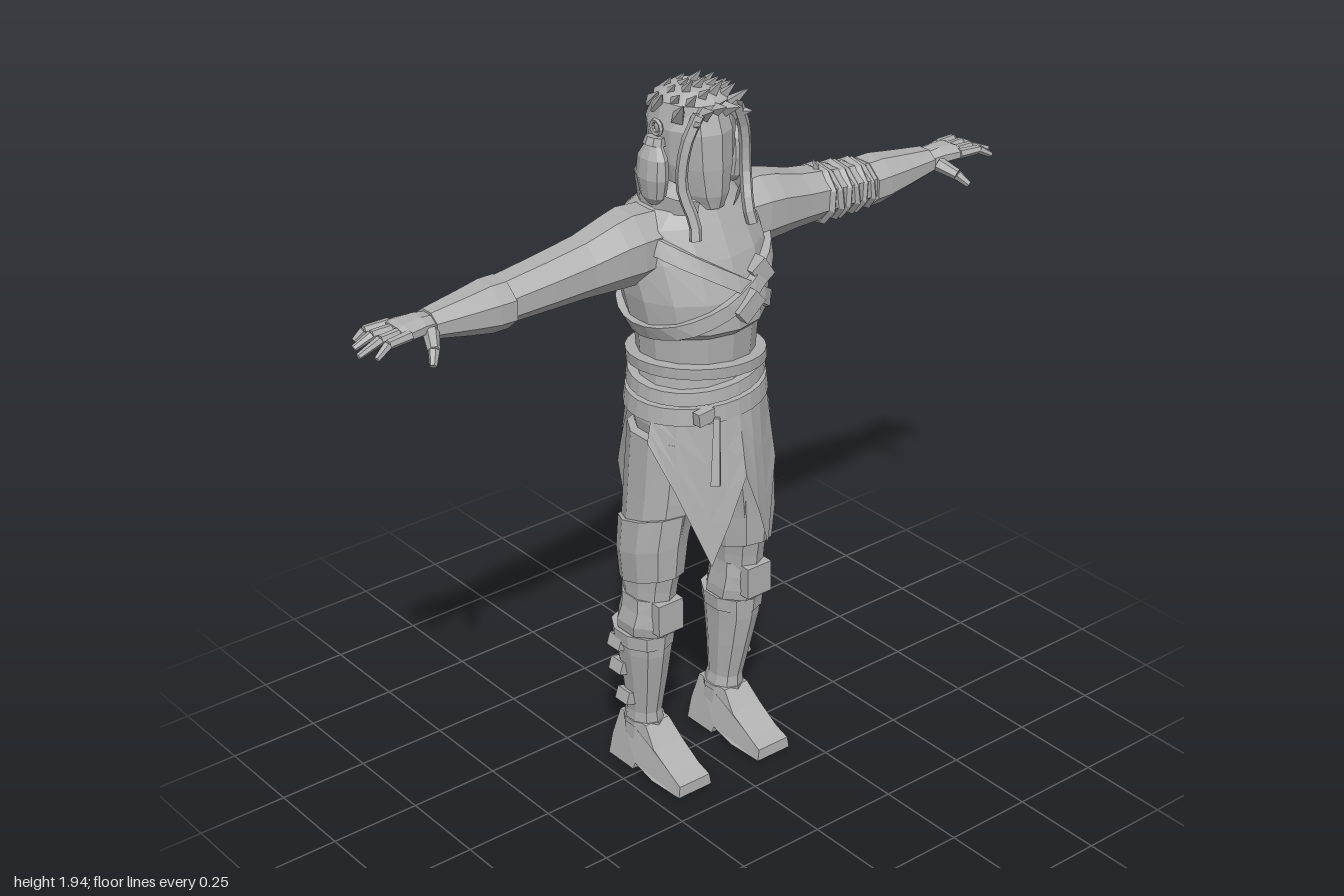
import * as THREE from 'three';

const grey = new THREE.MeshStandardMaterial({ color: 0xb0b0b0, side: THREE.DoubleSide });
grey.name = 'clay grey';
const V = (x, y, z) => new THREE.Vector3(x, y, z);
const TAU = Math.PI * 2;

function add(parent, name, geo) {
  const flat = geo.index ? geo.toNonIndexed() : geo;
  flat.computeVertexNormals(); // faceted normals
  const mesh = new THREE.Mesh(flat, grey);
  mesh.name = name;
  parent.add(mesh);
  return mesh;
}

// Faceted skin over rows of points
function skin(rows, closed = true) {
  const out = [];
  const tri = (a, b, c) => {
    if (b.clone().sub(a).cross(c.clone().sub(a)).length() > 1e-9)
      for (const p of [a, b, c]) out.push(p.x, p.y, p.z);
  };
  for (let i = 0; i < rows.length - 1; i++) {
    const n = rows[i].length;
    for (let j = 0; j < (closed ? n : n - 1); j++) {
      const k = (j + 1) % n;
      tri(rows[i][j], rows[i + 1][j], rows[i + 1][k]);
      tri(rows[i][j], rows[i + 1][k], rows[i][k]);
    }
  }
  const g = new THREE.BufferGeometry();
  g.setAttribute('position', new THREE.Float32BufferAttribute(out, 3));
  return g;
}

// Capped loft; ring = [position, centre a, centre b, radius a, radius b]
function loft(rings, n = 10, axis = 'y') {
  const cap = ([p, a, b]) => [p, a, b, 0, 0];
  const all = [cap(rings[0]), ...rings, cap(rings[rings.length - 1])];
  return skin(all.map(([p, a, b, ra, rb]) => Array.from({ length: n }, (_, j) => {
    const t = (j + 0.5) / n * TAU * (axis === 'y' ? 1 : -1);
    const u = a + ra * Math.cos(t), v = b + rb * Math.sin(t);
    return axis === 'y' ? V(u, p, v) : V(p, u, v);
  })));
}

// Tapered rod between two points
function rod(p, q, r0, r1, n = 6) {
  const d = V(...q).sub(V(...p));
  const g = new THREE.CylinderGeometry(r1, r0, d.length(), n);
  g.applyQuaternion(new THREE.Quaternion().setFromUnitVectors(V(0, 1, 0), d.clone().normalize()));
  return g.translate((p[0] + q[0]) / 2, (p[1] + q[1]) / 2, (p[2] + q[2]) / 2);
}
const box = (w, h, d, x, y, z, rz = 0) =>
  new THREE.BoxGeometry(w, h, d).rotateZ(rz).translate(x, y, z);

const TORSO = [
  [0.93, 0, 0, 0.15, 0.11], [1.05, 0, 0, 0.175, 0.155], [1.2, 0, 0, 0.155, 0.142],
  [1.3, 0, 0, 0.163, 0.15], [1.32, 0, 0, 0.18, 0.172], [1.4, 0, -0.008, 0.195, 0.178],
  [1.5, 0, -0.035, 0.205, 0.17], [1.58, 0, -0.04, 0.19, 0.135],
  [1.63, 0, -0.03, 0.12, 0.1], [1.67, 0, -0.02, 0.06, 0.06],
];

// Point on the torso at an angle and height, pushed out by off
function onTorso(t, y, off) {
  let i = 0;
  while (i < TORSO.length - 2 && TORSO[i + 1][0] < y) i++;
  const A = TORSO[i], B = TORSO[i + 1];
  const f = THREE.MathUtils.clamp((y - A[0]) / (B[0] - A[0]), 0, 1);
  const m = (k) => A[k] + (B[k] - A[k]) * f;
  return V((m(3) + off) * Math.cos(t), y, m(2) + (m(4) + off) * Math.sin(t));
}

// Tilted strap around the torso
function band(mid, tilt, width, off, tiltZ = 0) {
  const edges = [[-1, off], [1, off], [1, -0.01], [-1, -0.01], [-1, off]];
  return skin(edges.map(([s, o]) => Array.from({ length: 28 }, (_, j) => {
    const t = j / 28 * TAU;
    const y = mid + tilt * Math.cos(t) + tiltZ * Math.sin(t) + s * width / 2;
    return onTorso(t, y, o);
  })));
}

// Skirt panel with two hanging points and a centre notch
function skirtPanel() {
  const hem = [[0, 1.02], [0.15, 0.89], [0.32, 0.68], [0.41, 0.8], [0.5, 0.92]];
  const us = [...hem, ...hem.slice(0, -1).reverse().map(([u, y]) => [1 - u, y])];
  return skin([0, 0.35, 0.7, 1].map((f) => us.map(([u, y]) => {
    const t = (15 + 150 * u) * Math.PI / 180;
    return V((0.182 + 0.025 * f) * Math.cos(t), y + (1.11 - y) * (1 - f), (0.168 + 0.034 * f) * Math.sin(t));
  })).reverse(), false);
}

function buildLeg() {
  const leg = new THREE.Group();
  add(leg, 'trouserLeg', loft([
    [0.4, 0.15, -0.03, 0.06, 0.075], [0.5, 0.15, -0.012, 0.06, 0.078], [0.58, 0.147, -0.01, 0.064, 0.086],
    [0.72, 0.14, 0.002, 0.076, 0.102], [0.85, 0.122, 0.005, 0.083, 0.113], [1.02, 0.1, 0.01, 0.096, 0.118],
  ]));
  const wrap = loft([[0.6, 0.148, 0, 0.074, 0.1], [0.69, 0.147, 0, 0.083, 0.108], [0.78, 0.137, 0.003, 0.085, 0.114]]);
  const p = wrap.attributes.position; // slanted thigh guard
  for (let i = 0; i < p.count; i++) p.setY(i, p.getY(i) + (p.getZ(i)) * 0.3);
  add(leg, 'thighGuard', wrap);
  add(leg, 'kneeWrap', loft([
    [0.44, 0.15, -0.02, 0.076, 0.088], [0.47, 0.152, -0.015, 0.078, 0.09], [0.51, 0.15, -0.01, 0.07, 0.086], [0.55, 0.15, -0.012, 0.066, 0.086],
  ], 8));
  add(leg, 'kneePad', box(0.08, 0.09, 0.03, 0.15, 0.505, 0.068));
  add(leg, 'bootShaft', loft([
    [0.08, 0.137, -0.055, 0.052, 0.058], [0.13, 0.138, -0.05, 0.05, 0.06], [0.17, 0.141, -0.046, 0.045, 0.053],
    [0.28, 0.146, -0.038, 0.057, 0.07], [0.37, 0.151, -0.035, 0.067, 0.086], [0.4, 0.151, -0.033, 0.07, 0.087],
  ]));
  add(leg, 'bootCuff', loft([[0.395, 0.152, -0.034, 0.075, 0.09], [0.435, 0.152, -0.034, 0.078, 0.094]]));
  add(leg, 'ankleBand', loft([[0.125, 0.138, -0.05, 0.053, 0.063], [0.14, 0.138, -0.05, 0.053, 0.063]]));
  for (const [y, z] of [[0.22, -0.05], [0.31, -0.065], [0.39, -0.06]]) {
    add(leg, 'bootBuckle', box(0.03, 0.035, 0.05, 0.197 + (y - 0.22) * 0.1, y, z, 0.3));
  }
  // Foot from a side profile, narrowed upward and at the toe
  const side = new THREE.Shape([[-0.125, 0], [-0.02, 0], [-0.015, 0.02], [0.06, 0.004], [0.165, 0], [0.163, 0.032],
    [0.12, 0.05], [0.05, 0.09], [0.005, 0.14], [-0.105, 0.14], [-0.122, 0.06]].map((q) => new THREE.Vector2(...q)));
  const foot = new THREE.ExtrudeGeometry(side, { depth: 0.13, bevelEnabled: false }).translate(0, 0, -0.065).rotateY(-Math.PI / 2);
  const f = foot.attributes.position;
  for (let i = 0; i < f.count; i++) {
    const toe = f.getZ(i) > 0.1 ? 0.85 : 1;
    f.setX(i, f.getX(i) * toe * (1 - f.getY(i) * 2.8) + 0.137);
  }
  add(leg, 'foot', foot);
  return leg;
}

function buildArm() {
  const arm = new THREE.Group();
  add(arm, 'upperArm', loft([
    [0.1, 1.53, -0.035, 0.09, 0.09], [0.2, 1.53, -0.03, 0.1, 0.095], [0.25, 1.528, -0.025, 0.094, 0.087],
    [0.34, 1.517, -0.025, 0.078, 0.077], [0.46, 1.508, -0.025, 0.068, 0.072], [0.585, 1.5, -0.025, 0.059, 0.066],
  ], 8, 'x'));
  add(arm, 'forearmBracer', loft([
    [0.575, 1.496, -0.025, 0.066, 0.074], [0.62, 1.497, -0.024, 0.066, 0.073], [0.69, 1.5, -0.02, 0.054, 0.062], [0.79, 1.505, -0.017, 0.036, 0.047],
  ], 8, 'x'));
  add(arm, 'palm', loft([
    [0.78, 1.507, -0.015, 0.026, 0.035], [0.82, 1.514, -0.013, 0.026, 0.045], [0.87, 1.516, -0.012, 0.022, 0.055], [0.885, 1.514, -0.012, 0.017, 0.052],
  ], 8, 'x'));
  [[-0.053, -0.068, 0.96], [-0.024, -0.033, 0.985], [0.005, 0.01, 1], [0.032, 0.048, 0.975]].forEach(([z0, z1, end]) => {
    const mid = [0.935, 1.516, (z0 + z1) / 2];
    add(arm, 'finger', rod([0.87, 1.517, z0], mid, 0.014, 0.012));
    add(arm, 'fingertip', rod(mid, [end - 0.003, 1.494, z1], 0.012, 0.008));
  });
  add(arm, 'thumbBase', rod([0.805, 1.502, 0.02], [0.83, 1.48, 0.068], 0.02, 0.015));
  add(arm, 'thumbTip', rod([0.83, 1.48, 0.068], [0.85, 1.455, 0.093], 0.014, 0.009));
  return arm;
}

// Side ornament over the ear, with a lock of hair in front
function buildEarSide() {
  const g = new THREE.Group();
  add(g, 'earGourd', loft([
    [1.63, 0.122, -0.015, 0.012, 0.02], [1.65, 0.122, -0.015, 0.025, 0.04], [1.7, 0.124, -0.015, 0.031, 0.052],
    [1.75, 0.122, -0.015, 0.028, 0.048], [1.785, 0.118, -0.015, 0.015, 0.025],
  ], 10));
  add(g, 'gourdCap', rod([0.118, 1.78, -0.015], [0.114, 1.8, -0.015], 0.028, 0.024, 8));
  add(g, 'gourdRing', new THREE.TorusGeometry(0.018, 0.006, 5, 10).rotateY(Math.PI / 2).translate(0.11, 1.822, -0.015));
  const lock = new THREE.CatmullRomCurve3([V(0.06, 1.87, 0.085), V(0.09, 1.8, 0.075), V(0.1, 1.69, 0.07), V(0.085, 1.6, 0.1), V(0.09, 1.56, 0.11)]);
  add(g, 'sideLock', new THREE.TubeGeometry(lock, 10, 0.016, 5));
  return g;
}

export function createModel() {
  const model = new THREE.Group();
  model.name = 'figure';

  for (const [side, s] of [['left', 1], ['right', -1]]) {
    for (const [part, build] of [['Leg', buildLeg], ['Arm', buildArm], ['EarSide', buildEarSide]]) {
      const g = build();
      g.name = side + part;
      g.scale.x = s;
      model.add(g);
    }
  }

  // Torso, straps and belts
  add(model, 'torso', loft(TORSO, 14));
  add(model, 'chestStrap', band(1.44, -0.13, 0.045, 0.012));
  add(model, 'crossStrap', band(1.4, 0.085, 0.04, 0.017));
  add(model, 'sash', band(1.2, -0.015, 0.03, 0.028, 0.008));
  add(model, 'sashLower', band(1.165, 0.018, 0.035, 0.022, -0.01));
  add(model, 'belt', band(1.105, 0.01, 0.045, 0.022));
  add(model, 'strapBuckle', box(0.075, 0.045, 0.04, 0.015, 1.385, 0.18, 0.7));
  add(model, 'strapPouch', box(0.05, 0.06, 0.04, 0.085, 1.445, 0.14, 0.6));
  add(model, 'beltKnot', box(0.05, 0.035, 0.025, -0.1, 1.105, 0.155, 0.1));
  add(model, 'beltTail', rod([-0.075, 1.1, 0.175], [-0.095, 0.925, 0.195], 0.011, 0.017, 4));
  add(model, 'frontSkirt', skirtPanel());
  add(model, 'backSkirt', skirtPanel()).scale.z = -0.95;

  // Stand-up collar, open at the throat
  add(model, 'collar', skin([0, 1].map((r) => Array.from({ length: 13 }, (_, j) => {
    const t = Math.PI / 2 + 0.45 + j / 12 * (TAU - 0.9);
    const back = 0.5 - 0.5 * Math.sin(t);
    return V((0.13 + r * 0.005) * Math.cos(t), r ? 1.645 + back * 0.045 : 1.58, -0.03 + (0.11 + r * 0.02) * Math.sin(t));
  })), false));

  // Wraps and loose knot on the left upper arm
  for (let i = 0; i < 6; i++) {
    const x = 0.415 + i * 0.029;
    const wrap = new THREE.TorusGeometry(0.073 - i * 0.002, 0.011, 4, 9).rotateY(Math.PI / 2).rotateZ(i % 2 ? 0.14 : -0.06);
    add(model, 'armWrap', wrap.translate(x, 1.509 - i * 0.002, -0.025));
  }
  add(model, 'wrapEnd', rod([0.42, 1.565, -0.02], [0.4, 1.605, -0.02], 0.016, 0.002, 4));

  // Head, face and hair
  add(model, 'neck', rod([0, 1.58, -0.02], [0, 1.7, -0.015], 0.06, 0.055, 8));
  add(model, 'head', loft([
    [1.615, 0, 0.05, 0.035, 0.04], [1.65, 0, 0.02, 0.06, 0.08], [1.72, 0, 0.005, 0.078, 0.098],
    [1.81, 0, 0, 0.083, 0.1], [1.88, 0, -0.01, 0.07, 0.085],
  ], 10));
  add(model, 'hairCap', skin([[1.68, 0.085, 0.1], [1.73, 0.1, 0.113], [1.82, 0.105, 0.117], [1.88, 0.088, 0.1], [1.905, 0.05, 0.06], [1.91, 0, 0]]
    .map(([y, rx, rz]) => Array.from({ length: 13 }, (_, j) => {
      const open = y > 1.87 ? 0 : 0.85; // gap for the face
      const t = Math.PI / 2 + open + j / 12 * (TAU - 2 * open);
      return V(rx * Math.cos(t), y, -0.02 + rz * Math.sin(t));
    })), false));
  for (let row = 0; row < 5; row++) {
    const z = -0.09 + row * 0.04, count = row % 2 ? 6 : 5;
    for (let i = 0; i < count; i++) {
      const x = (i - (count - 1) / 2) * 0.032;
      const y = 1.905 - x * x * 5 - (z + 0.02) ** 2 * 3;
      const lift = 0.026 + ((i * 3 + row * 2) % 4) * 0.004;
      add(model, 'hairSpike', rod([x, y - 0.015, z], [x * 1.25, y + lift - (row === 4 ? 0.03 : 0), z + 0.045], 0.02, 0.002, 4));
    }
  }
  return model;
}
